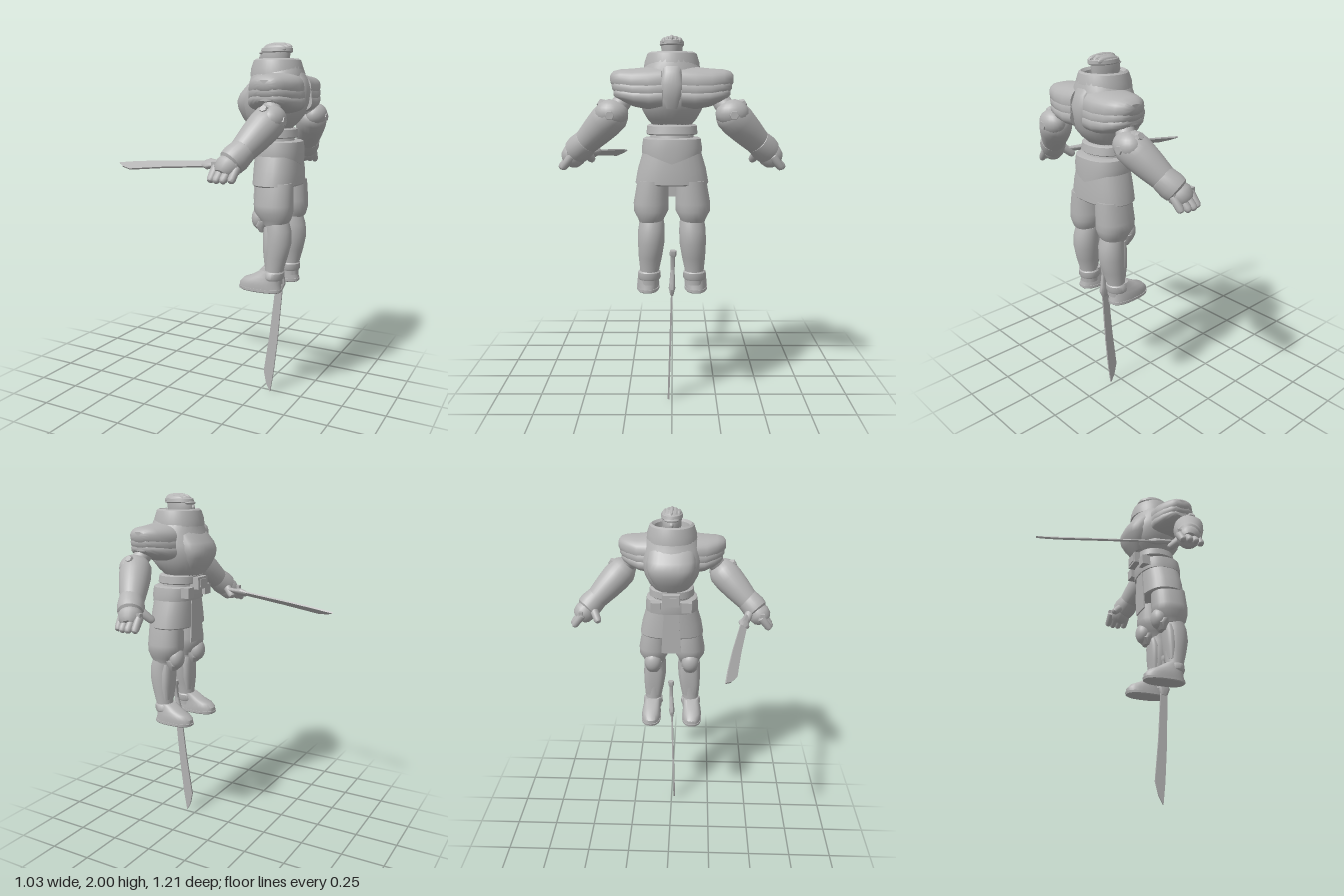
import * as THREE from 'three';
import { toCreasedNormals } from 'three/addons/utils/BufferGeometryUtils.js';

const V = (x, y, z) => new THREE.Vector3(x, y, z);

// Reverse the corner order of every triangle
function flip(geo) {
  const g = geo.index ? geo.toNonIndexed() : geo;
  const p = g.attributes.position;
  const a = V(), b = V();
  for (let i = 0; i < p.count; i += 3) {
    a.fromBufferAttribute(p, i + 1);
    b.fromBufferAttribute(p, i + 2);
    p.setXYZ(i + 1, b.x, b.y, b.z);
    p.setXYZ(i + 2, a.x, a.y, a.z);
  }
  return g;
}

// Closed skin over superellipse rings: [height, centreX, centreZ, radiusX, radiusZ]
function loft(rings, n = 2, sides = 28) {
  const pos = [], idx = [];
  const pw = v => Math.sign(v) * Math.abs(v) ** (2 / n);
  for (const [y, cx, cz, rx, rz] of rings) {
    for (let j = 0; j < sides; j++) {
      const t = j / sides * Math.PI * 2;
      pos.push(cx + rx * pw(Math.cos(t)), y, cz + rz * pw(Math.sin(t)));
    }
  }
  const last = rings.length - 1, c0 = rings.length * sides;
  for (const r of [rings[0], rings[last]]) pos.push(r[1], r[0], r[2]);
  for (let j = 0; j < sides; j++) {
    const k = (j + 1) % sides;
    for (let i = 0; i < last; i++) {
      const a = i * sides + j, b = i * sides + k;
      idx.push(a, a + sides, b, b, a + sides, b + sides);
    }
    idx.push(c0, j, k, c0 + 1, last * sides + k, last * sides + j);
  }
  const g = new THREE.BufferGeometry();
  g.setAttribute('position', new THREE.Float32BufferAttribute(pos, 3));
  g.setIndex(idx);
  return g;
}

// Same skin laid along z: [z, centreX, centreY, radiusX, radiusY]
function loftZ(rings, n) {
  const g = loft(rings, n);
  const p = g.attributes.position;
  for (let i = 0; i < p.count; i++) p.setXYZ(i, p.getX(i), p.getZ(i), p.getY(i));
  return flip(g);
}

// Round limb between two points, profile as [fraction, radius]
function limb(from, to, profile, sides = 20) {
  const d = to.clone().sub(from), len = d.length();
  const g = loft(profile.map(([t, r]) => [t * len, 0, 0, r, r]), 2, sides);
  g.applyQuaternion(new THREE.Quaternion().setFromUnitVectors(V(0, 1, 0), d.normalize()));
  return g.translate(from.x, from.y, from.z);
}

const ball = (x, y, z, rx, ry, rz) => new THREE.SphereGeometry(1, 22, 14).scale(rx, ry, rz).translate(x, y, z);
const box = (x, y, z, w, h, d) => new THREE.BoxGeometry(w, h, d).translate(x, y, z);
const rod = r => [[0, r * 0.6], [0.08, r], [0.8, r * 0.9], [0.95, r * 0.65], [1, r * 0.3]];

export function createModel() {
  const model = new THREE.Group();
  model.name = 'armouredWarrior';
  const grey = new THREE.MeshStandardMaterial({ color: 0xb4b4b4 });
  grey.name = 'plainGrey';

  const add = (name, geo, parent = model) => {
    const mesh = new THREE.Mesh(toCreasedNormals(geo, 0.65), grey);
    mesh.name = name;
    parent.add(mesh);
  };
  const pair = (name, geo) => {
    add(name + 'A', geo);
    add(name + 'B', flip(geo.clone().scale(1, 1, -1)));
  };

  // Head, facing -x
  add('head', loft([[1.82, .33, 0, .06, .05], [1.88, .31, 0, .075, .05], [1.91, .306, 0, .084, .054],
    [1.95, .312, 0, .084, .056], [1.975, .32, 0, .075, .05], [1.99, .325, 0, .05, .03]]));
  add('nose', ball(.23, 1.92, 0, .016, .018, .012));
  add('brow', ball(.25, 1.945, 0, .03, .012, .042));
  add('headBand', loft([[1.945, .318, 0, .086, .059], [1.95, .318, 0, .091, .063],
    [1.968, .32, 0, .088, .06], [1.973, .32, 0, .08, .054]]));
  for (let i = -2; i <= 2; i++) {
    add('hairLock', ball(.325, 1.975 - Math.abs(i) * .006, i * .02, .082 - Math.abs(i) * .009, .024, .015));
  }

  // Torso armour
  add('collar', new THREE.LatheGeometry([[.09, 1.82], [.145, 1.82], [.142, 1.86], [.127, 1.905], [.115, 1.913],
    [.1, 1.9], [.094, 1.85], [.09, 1.82]].map(p => new THREE.Vector2(...p)), 36).translate(.322, 0, 0));
  add('torso', loft([[1.54, .3, 0, .1, .1], [1.575, .3, 0, .14, .13], [1.62, .31, 0, .165, .155],
    [1.67, .31, 0, .18, .17], [1.72, .315, 0, .175, .175], [1.79, .33, 0, .15, .165],
    [1.84, .33, 0, .14, .14], [1.87, .33, 0, .13, .12]], 2.2));
  add('breastplate', loft([[1.55, .225, 0, .05, .07], [1.6, .215, 0, .075, .105], [1.65, .21, 0, .093, .13],
    [1.69, .212, 0, .1, .14], [1.73, .23, 0, .1, .14], [1.79, .27, 0, .085, .13], [1.83, .29, 0, .07, .11]], 2.5));
  add('spinePlate', loft([[1.63, .44, 0, .04, .045], [1.68, .455, 0, .046, .05], [1.75, .46, 0, .047, .065],
    [1.81, .45, 0, .04, .05], [1.86, .42, 0, .035, .06]], 2.6));

  // Layered shoulder plates
  for (let k = 0; k < 3; k++) {
    const f = 1 - .15 * k, dy = -.034 * k, s = 1 - .025 * k, w = .004 * k;
    pair('shoulderPlate' + k, loftZ([[.05, .36, 1.755, .14, .09], [.12, .37, 1.752, .133, .086],
      [.2, .37, 1.757, .122, .073], [.26, .38, 1.768, .096, .058], [.295, .385, 1.775, .066, .042],
      [.31, .385, 1.778, .04, .022]].map(([z, x, y, rx, ry]) => [z * s, x, y + dy, rx + w, ry * f]), 2.4));
  }

  // Waist, belts and skirt
  add('waist', loft([[1.4, .33, 0, .12, .13], [1.5, .315, 0, .1, .11], [1.6, .31, 0, .095, .1]]));
  add('upperBelt', loft([[1.495, .318, 0, .115, .128], [1.5, .318, 0, .122, .134],
    [1.54, .315, 0, .118, .13], [1.546, .315, 0, .11, .122]], 2.3));
  const sash = loft([[1.4, .34, 0, .13, .156], [1.43, .338, 0, .133, .157],
    [1.475, .335, 0, .13, .15], [1.48, .335, 0, .12, .14]], 2.4, 48);
  const sp = sash.attributes.position;
  for (let i = 0; i < sp.count - 2; i++) {
    // pointed lower edge at the back
    if (sp.getY(i) < 1.41 && sp.getX(i) > .34) sp.setY(i, 1.4 - .05 * Math.max(0, 1 - Math.abs(sp.getZ(i)) / .13));
  }
  add('sash', sash);
  add('buckle', box(.195, 1.5, 0, .055, .07, .1));
  add('buckleFace', box(.166, 1.5, 0, .008, .045, .065));
  pair('beltPouch', box(.215, 1.45, .09, .05, .06, .06));
  add('skirt', loft([[1.238, .345, 0, .12, .184], [1.245, .345, 0, .127, .192], [1.32, .345, 0, .126, .178],
    [1.42, .34, 0, .12, .148]], 2.4));
  add('frontCloth', new THREE.CylinderGeometry(.06, .085, .28, 4, 1).rotateY(Math.PI / 4)
    .scale(.07, 1, 1).translate(.22, 1.29, 0));

  // Legs
  pair('thigh', loft([[1.03, .37, .11, .065, .06], [1.06, .37, .11, .088, .07], [1.1, .362, .11, .106, .092],
    [1.14, .36, .11, .109, .092], [1.26, .36, .1, .104, .08]], 2.2));
  pair('kneePad', ball(.283, 1.06, .115, .045, .064, .052));
  pair('kneeRim', loft([[.985, .305, .115, .02, .03], [1.02, .3, .115, .04, .052], [1.05, .31, .115, .04, .055]]));
  pair('shin', loft([[.7, .37, .12, .05, .05], [.77, .373, .12, .05, .05], [.85, .382, .115, .064, .062],
    [.93, .39, .11, .074, .07], [1, .39, .108, .07, .07], [1.05, .38, .106, .065, .064]]));
  pair('shinPlate', loft([[.8, .35, .118, .026, .045], [.88, .348, .115, .032, .058],
    [.97, .347, .11, .035, .06], [1.02, .342, .11, .028, .05]], 2.5));
  pair('ankleCuff', loft([[.725, .368, .122, .054, .056], [.735, .368, .122, .059, .062],
    [.765, .37, .121, .058, .06], [.772, .37, .121, .052, .054]]));
  pair('boot', loft([[.668, .298, .13, .124, .059], [.695, .295, .13, .12, .06], [.72, .305, .13, .107, .056],
    [.74, .33, .127, .082, .052], [.775, .36, .122, .055, .05]], 2.4));
  pair('sole', loft([[.655, .3, .13, .118, .057], [.66, .298, .13, .125, .062], [.674, .296, .13, .127, .062]], 2.5));

  // Arms and gauntlets
  pair('upperArm', limb(V(.38, 1.71, .22), V(.43, 1.61, .29), [[0, .045], [1, .05]]));
  pair('forearm', limb(V(.435, 1.635, .265), V(.3, 1.39, .515), [[0, .045], [.05, .072], [.14, .087],
    [.3, .088], [.5, .08], [.72, .068], [.88, .056], [1, .05]], 28));
  pair('elbowGuard', ball(.435, 1.605, .305, .066, .07, .085));
  pair('elbowStud', new THREE.CylinderGeometry(.022, .034, .03, 6).rotateZ(-Math.PI / 2).translate(.488, 1.597, .31));
  pair('armStud', new THREE.CylinderGeometry(.018, .03, .03, 6).rotateX(1).translate(.41, 1.655, .36));
  pair('gauntletCuff', limb(V(.345, 1.465, .44), V(.3, 1.395, .515),
    [[0, .056], [.08, .067], [.6, .074], [.9, .07], [1, .056]], 24));
  pair('palm', limb(V(.305, 1.41, .495), V(.28, 1.345, .555), [[0, .055], [.4, .066], [.8, .058], [1, .04]]));
  for (let i = 0; i < 4; i++) {
    const x = .227 + i * .037, reach = [.585, .598, .597, .58][i];
    pair('finger' + i, limb(V(x + .006, 1.385, .525), V(x, 1.312, reach), rod(.023), 12));
    pair('knucklePlate' + i, box(x + .003, 1.393, .535, .03, .026, .025));
  }
  pair('thumb', limb(V(.275, 1.405, .465), V(.212, 1.345, .43), rod(.025), 12));

  // Two matching swords: local y runs to the tip, x across the blade
  const outline = [[-.022, 0], [.02, 0], [.018, .33], [.01, .54], [0, .66], [-.028, .615], [-.05, .54], [-.033, .3]];
  const sword = (name, origin, along, across) => {
    const g = new THREE.Group();
    g.name = name;
    const blade = new THREE.ExtrudeGeometry(new THREE.Shape(outline.map(p => new THREE.Vector2(...p))),
      { depth: .01, bevelEnabled: false });
    add('blade', blade.translate(0, 0, -.005), g);
    add('guard', loft([[-.115, 0, 0, .013, .011], [-.04, 0, 0, .027, .015], [-.01, 0, 0, .035, .018],
      [.03, 0, 0, .02, .009]], 2.6), g);
    add('grip', loft([[-.22, 0, 0, .018, .018], [-.195, 0, 0, .018, .018], [-.185, 0, 0, .013, .012],
      [-.1, 0, 0, .013, .011]], 2.6), g);
    const y = along.normalize();
    const x = across.addScaledVector(y, -across.dot(y)).normalize();
    g.quaternion.setFromRotationMatrix(new THREE.Matrix4().makeBasis(x, y, x.clone().cross(y)));
    g.position.copy(origin);
    model.add(g);
  };
  sword('heldSword', V(.125, 1.38, .42), V(-.62, -.04, -.12), V(0, .6, -.8));
  sword('hangingSword', V(.357, .66, 0), V(-.062, -1, .03), V(1, 0, 0));

  return model;
}
